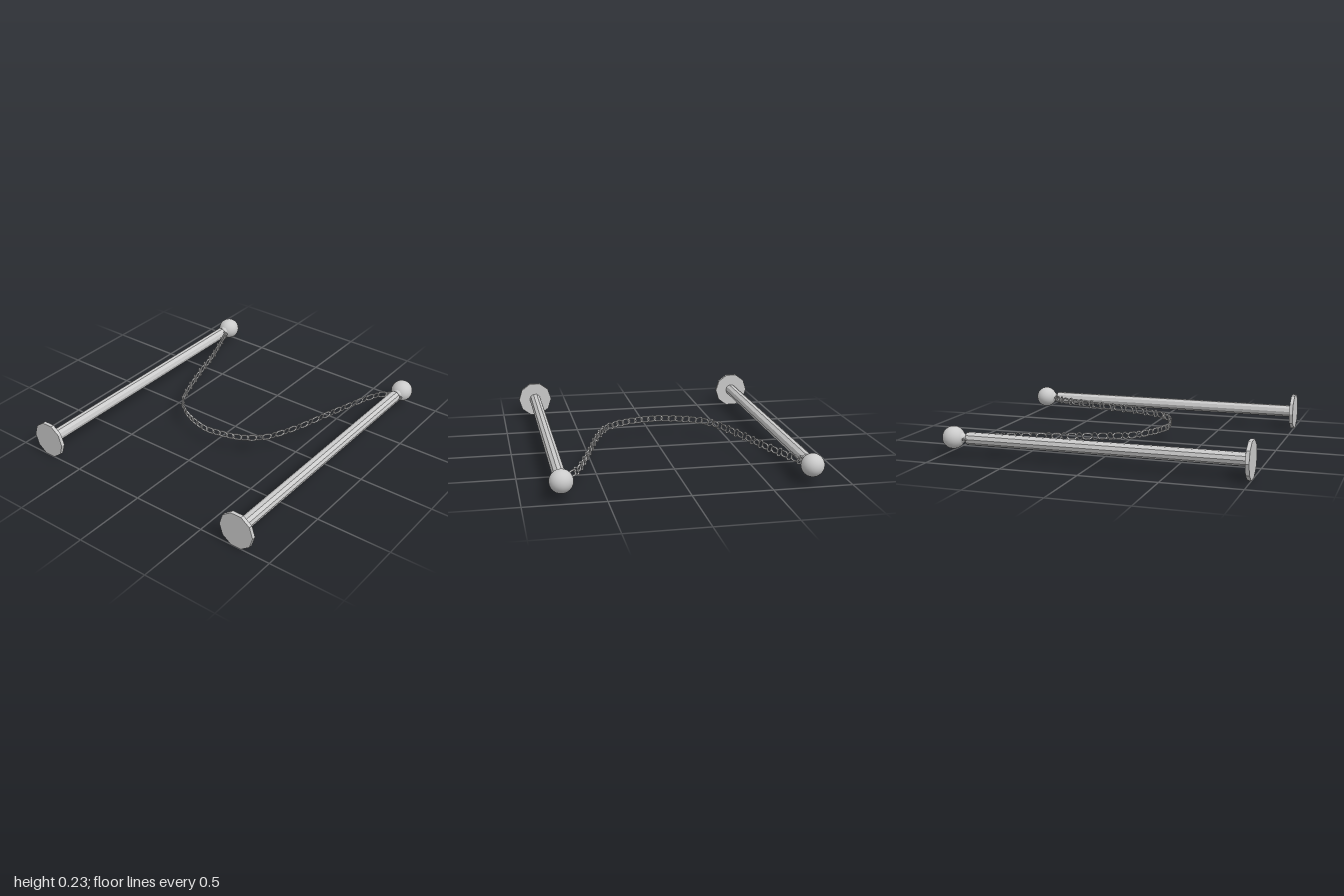
import * as THREE from 'three';

const metal = new THREE.MeshStandardMaterial({ color: 0xcccccc });
const facetedMetal = new THREE.MeshStandardMaterial({ color: 0xcccccc, flatShading: true });
const AXIS_Y = 0.117;

function addMesh(parent, name, geometry, material) {
  const mesh = new THREE.Mesh(geometry, material);
  mesh.name = name;
  parent.add(mesh);
  return mesh;
}

// Ten-sided cylinder lying along z, between two z positions
function prism(radius, z0, z1) {
  return new THREE.CylinderGeometry(radius, radius, z1 - z0, 10, 1, false, Math.PI / 2)
    .rotateX(Math.PI / 2)
    .translate(0, 0, (z0 + z1) / 2);
}

// One post lying on its back: foot at +z, ball at -z
function createPost(name, x) {
  const post = new THREE.Group();
  post.name = name;
  post.position.set(x, AXIS_Y, 0);
  addMesh(post, 'basePlate', prism(0.123, 0.976, 1).scale(0.975, 1, 1), facetedMetal);
  addMesh(post, 'pole', prism(0.041, -0.828, 0.98), facetedMetal);

  const neck = new THREE.CylinderGeometry(0.01, 0.036, 0.042, 12).rotateX(Math.PI / 2);
  addMesh(post, 'neck', neck, metal).position.z = -0.844;
  const ball = new THREE.SphereGeometry(0.073, 24, 16).rotateX(Math.PI / 2);
  addMesh(post, 'ballFinial', ball, metal).position.z = -0.927;

  // Eyelets for the chain on both sides of the pole top
  for (const side of [-1, 1]) {
    const ring = new THREE.TorusGeometry(0.013, 0.006, 6, 12).rotateX(Math.PI / 2);
    addMesh(post, 'eyelet', ring, metal).position.set(side * 0.037, 0, -0.831);
  }
  return post;
}

// Oblong link with cut corners, long along x, wide along y
function linkGeometry() {
  const a = 0.03, b = 0.0175, c = 0.012;
  const corners = [
    [a, -b + c], [a, b - c], [a - c, b], [-a + c, b],
    [-a, b - c], [-a, -b + c], [-a + c, -b], [a - c, -b],
  ].map(([x, y]) => new THREE.Vector3(x, y, 0));
  const curve = new THREE.CatmullRomCurve3(corners, true, 'catmullrom', 0.2);
  return new THREE.TubeGeometry(curve, 20, 0.006, 6, true);
}

// Chain hanging between the posts, links turned by a quarter in alternation
function createChain() {
  const chain = new THREE.Group();
  chain.name = 'chain';
  const path = new THREE.CatmullRomCurve3([
    [-0.72, -0.82], [-0.656, -0.664], [-0.587, -0.479], [-0.529, -0.288],
    [-0.466, -0.103], [-0.392, 0.077], [-0.328, 0.156], [-0.243, 0.214],
    [-0.153, 0.251], [-0.03, 0.278], [0.058, 0.267], [0.164, 0.241],
    [0.259, 0.193], [0.339, 0.119], [0.386, 0.034], [0.455, -0.146],
    [0.508, -0.331], [0.566, -0.521], [0.63, -0.712], [0.672, -0.79], [0.718, -0.83],
  ].map(([x, z]) => new THREE.Vector3(x, AXIS_Y, z)));

  const geometry = linkGeometry();
  const up = new THREE.Vector3(0, 1, 0);
  const count = 59;
  for (let i = 0; i < count; i++) {
    const u = i / (count - 1);
    const along = path.getTangentAt(u);
    along.y = 0;
    along.normalize();
    const across = new THREE.Vector3().crossVectors(up, along);
    const link = addMesh(chain, 'chainLink', geometry, metal);
    const frame = i % 2 === 0
      ? new THREE.Matrix4().makeBasis(along, across, up.clone().negate())
      : new THREE.Matrix4().makeBasis(along, up, across.clone().negate());
    link.quaternion.setFromRotationMatrix(frame);
    link.position.copy(path.getPointAt(u));
  }
  return chain;
}

export function createModel() {
  const model = new THREE.Group();
  model.name = 'chainBarrier';
  model.add(createPost('leftPost', 0.761), createPost('rightPost', -0.765), createChain());
  return model;
}
